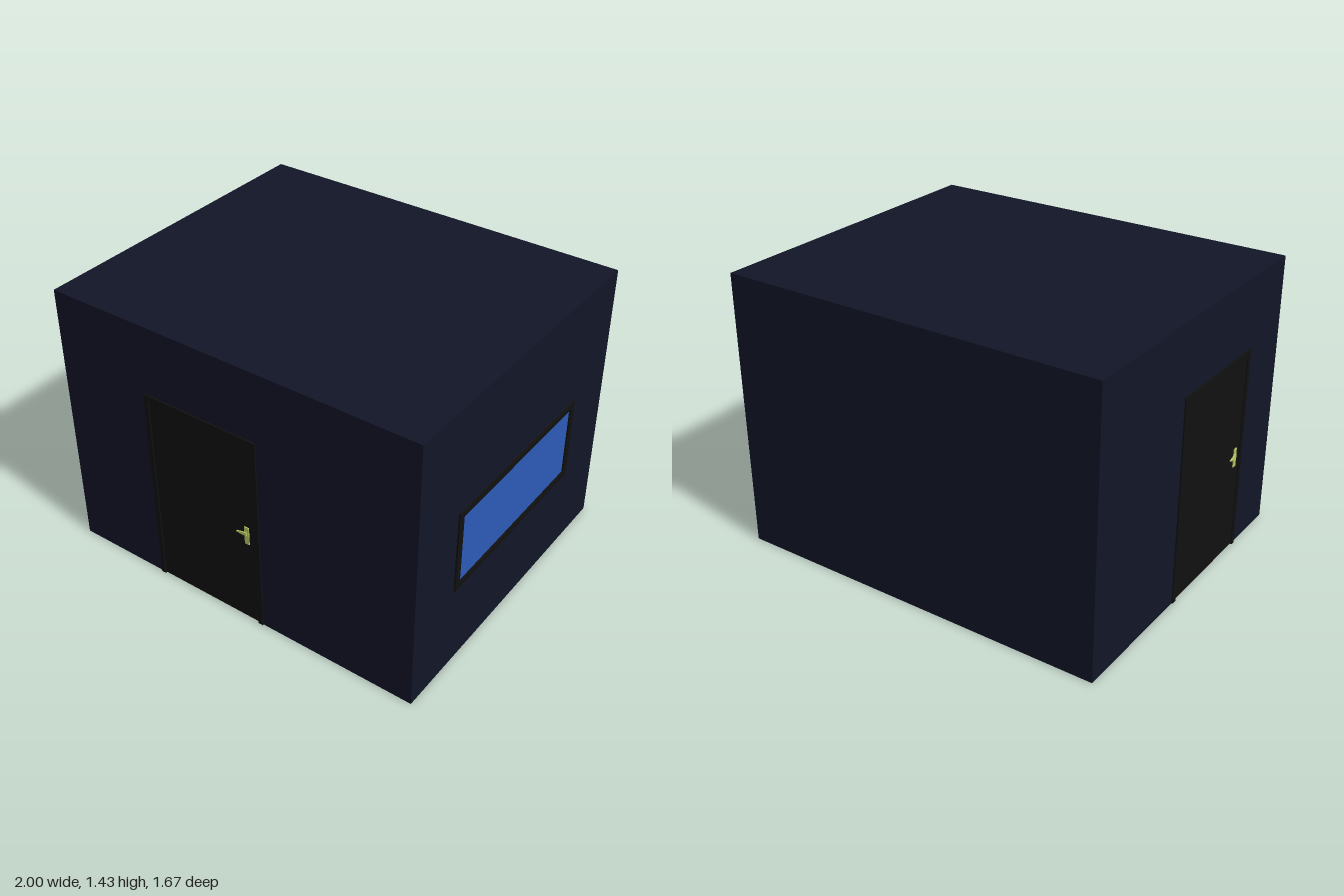
import * as THREE from 'three';

const H = 1.43, T = 0.03;                         // wall height and thickness
const X0 = -0.989, X1 = 0.991, Z0 = -0.836, Z1 = 0.823;
const mat = (color) => new THREE.MeshStandardMaterial({ color });
const wallMat = mat(0x121527), darkMat = mat(0x111111), glassMat = mat(0x2d5bb9), brassMat = mat(0xb9c964);

function mesh(name, geometry, material, parent) {
  const m = new THREE.Mesh(geometry, material);
  m.name = name;
  parent.add(m);
  return m;
}

function box(name, x0, x1, y0, y1, z0, z1, material, parent) {
  const m = mesh(name, new THREE.BoxGeometry(x1 - x0, y1 - y0, z1 - z0), material, parent);
  m.position.set((x0 + x1) / 2, (y0 + y1) / 2, (z0 + z1) / 2);
  return m;
}

function polygon(points) {
  return new THREE.Shape(points.map(([x, y]) => new THREE.Vector2(x, y)));
}

const rect = (x0, x1, y0, y1) => [[x0, y0], [x1, y0], [x1, y1], [x0, y1]];

function extrude(shape, z0, z1) {
  return new THREE.ExtrudeGeometry(shape, { depth: z1 - z0, bevelEnabled: false }).translate(0, 0, z0);
}

// Wall seen from outside: outer face at local z = 0, facing +z
function wall(name, x0, x1, { door, window: win } = {}) {
  const g = new THREE.Group();
  g.name = name;
  let outline = rect(x0, x1, 0, H);
  if (door) {
    const a = door - 0.3, b = door + 0.3;
    outline = [[x0, 0], [a, 0], [a, 1.05], [b, 1.05], [b, 0], [x1, 0], [x1, H], [x0, H]];
  }
  const shape = polygon(outline);
  if (win) shape.holes.push(polygon(rect(win - 0.49, win + 0.49, 0.46, 0.86)));
  mesh(name + 'Panel', extrude(shape, -T, 0), wallMat, g);
  if (door) g.add(makeDoor(door));
  if (win) g.add(makeWindow(win));
  return g;
}

// Door with frame, leaf, handle plate and tapered lever
function makeDoor(x) {
  const g = new THREE.Group();
  g.name = 'door';
  g.position.x = x;
  const frame = polygon([[-0.32, 0], [-0.295, 0], [-0.295, 1.04], [0.295, 1.04],
    [0.295, 0], [0.32, 0], [0.32, 1.07], [-0.32, 1.07]]);
  mesh('doorFrame', extrude(frame, -T - 0.007, 0.007), darkMat, g);
  box('doorLeaf', -0.295, 0.295, 0.004, 1.04, -T + 0.004, 0, darkMat, g);
  box('handlePlate', 0.235, 0.26, 0.47, 0.568, 0, 0.005, brassMat, g);
  const lever = polygon([[0.192, 0.523], [0.235, 0.521], [0.25, 0.521], [0.25, 0.54], [0.235, 0.538], [0.192, 0.528]]);
  mesh('handleLever', extrude(lever, 0.004, 0.011), brassMat, g);
  return g;
}

// Long window with a flat surround and a glass pane
function makeWindow(x) {
  const g = new THREE.Group();
  g.name = 'window';
  g.position.x = x;
  const frame = polygon(rect(-0.515, 0.515, 0.44, 0.878));
  frame.holes.push(polygon(rect(-0.48, 0.48, 0.47, 0.846)));
  mesh('windowFrame', extrude(frame, -T - 0.009, 0.009), darkMat, g);
  box('windowGlass', -0.482, 0.482, 0.468, 0.848, -0.02, 0, glassMat, g);
  return g;
}

export function createModel() {
  const room = new THREE.Group();
  room.name = 'room';

  const front = wall('frontWall', X0, X1, { door: -0.16 });
  front.position.z = Z1;

  const back = wall('backWall', -X1, -X0);
  back.rotation.y = Math.PI;
  back.position.z = Z0;

  // Side walls fit between the front and back walls
  const windowWall = wall('windowWall', -Z1 + T, -Z0 - T, { window: 0.005 });
  windowWall.rotation.y = Math.PI / 2;
  windowWall.position.x = X1;

  const doorWall = wall('doorWall', Z0 + T, Z1 - T, { door: 0.187 });
  doorWall.rotation.y = -Math.PI / 2;
  doorWall.position.x = X0;

  room.add(front, back, windowWall, doorWall);

  // Floor and ceiling sit inside the walls
  box('floor', X0 + T, X1 - T, 0.002, 0.03, Z0 + T, Z1 - T, darkMat, room);
  box('roof', X0 + T, X1 - T, H - 0.03, H, Z0 + T, Z1 - T, wallMat, room);
  return room;
}
